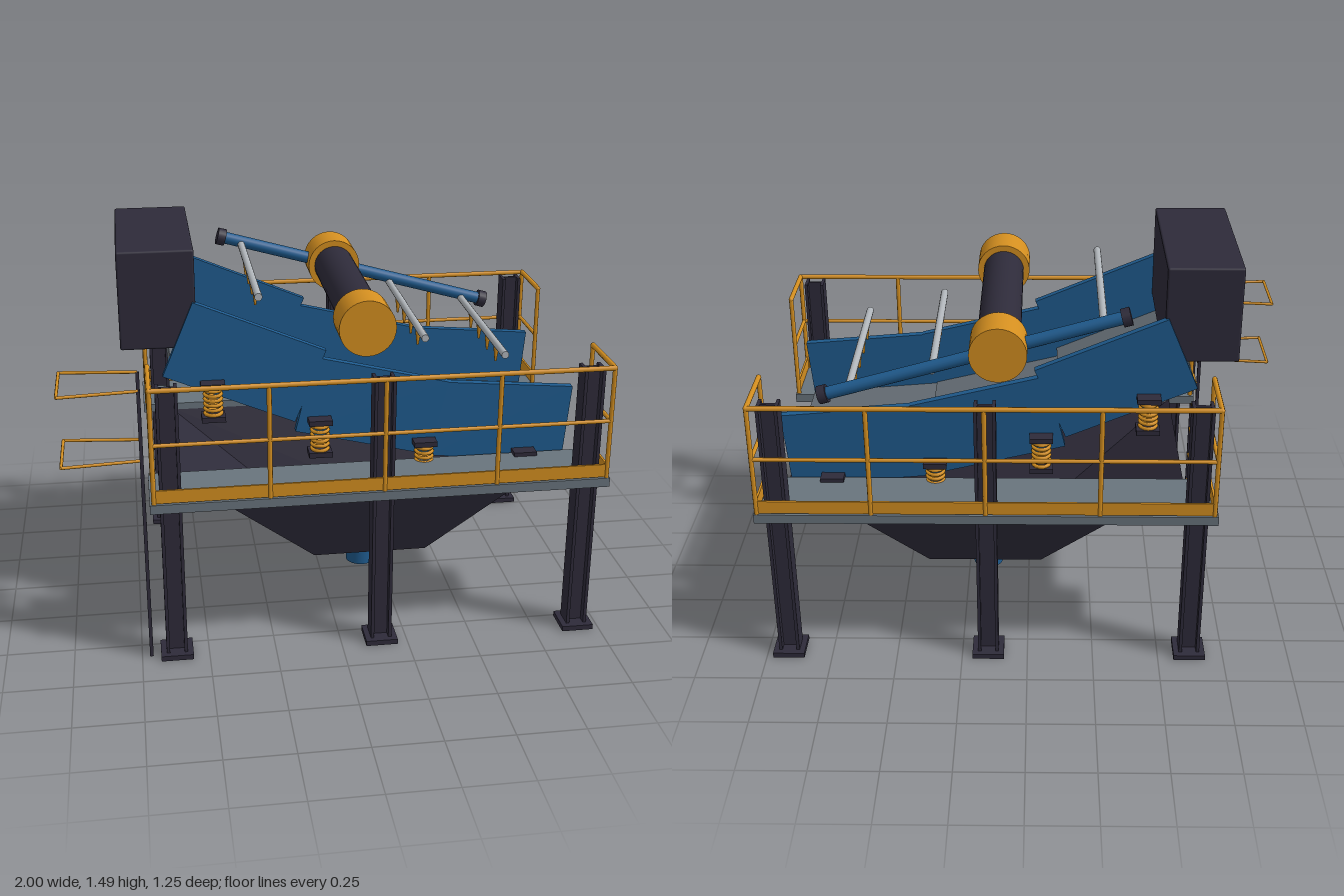
import * as THREE from 'three';
import { RoundedBoxGeometry } from 'three/addons/geometries/RoundedBoxGeometry.js';

const mat = (name, color, extra = {}) => {
  const m = new THREE.MeshStandardMaterial({ color, ...extra });
  m.name = name;
  return m;
};

export function createModel() {
  const dark = mat('dark steel', 0x2e2b3a);
  const darkSheet = dark.clone();
  darkSheet.side = THREE.DoubleSide;
  const orange = mat('safety orange', 0xd48f20);
  const blue = mat('blue paint', 0x1f5b8e);
  const grey = mat('platform grey', 0x69747d);
  const deckGrey = mat('screen grey', 0x636b72);
  const silver = mat('pipe silver', 0xb0b5ba);

  const root = new THREE.Group();
  root.name = 'vibratingScreen';
  const V = (x, y, z) => new THREE.Vector3(x, y, z);

  const add = (parent, name, geo, material, x = 0, y = 0, z = 0) => {
    const m = new THREE.Mesh(geo, material);
    m.name = name;
    m.position.set(x, y, z);
    parent.add(m);
    return m;
  };
  const box = (parent, name, material, w, h, d, x, y, z) =>
    add(parent, name, new THREE.BoxGeometry(w, h, d), material, x, y, z);
  // Round bar from a to b
  const bar = (parent, name, material, a, b, r, sides = 8, rEnd = r) => {
    const dir = b.clone().sub(a);
    const m = add(parent, name, new THREE.CylinderGeometry(rEnd, r, dir.length(), sides), material);
    m.position.copy(a).add(b).multiplyScalar(0.5);
    m.quaternion.setFromUnitVectors(V(0, 1, 0), dir.normalize());
    return m;
  };
  const group = (name) => {
    const g = new THREE.Group();
    g.name = name;
    root.add(g);
    return g;
  };

  // Hopper: open top rectangle tapering to a closed floor
  const hopperGeo = (() => {
    const ring = (x0, x1, y, z) => [V(x0, y, z), V(x1, y, z), V(x1, y, -z), V(x0, y, -z)];
    const top = ring(-0.59, 0.91, 0.625, 0.35);
    const low = ring(-0.05, 0.4, 0.172, 0.2);
    const pts = [];
    const quad = (a, b, c, d) => pts.push(a, b, c, a, c, d);
    for (let i = 0; i < 4; i++) {
      const j = (i + 1) % 4;
      quad(low[i], low[j], top[j], top[i]);
    }
    quad(low[3], low[2], low[1], low[0]);
    const g = new THREE.BufferGeometry().setFromPoints(pts);
    g.computeVertexNormals();
    return g;
  })();
  add(root, 'hopper', hopperGeo, darkSheet);
  bar(root, 'outletPipe', blue, V(0.17, 0.04, 0), V(0.17, 0.18, 0), 0.06, 24);

  // Three tilted screen sections: side walls and deck
  const sections = [
    [-0.324, 1.053, 23],
    [0.151, 0.857, 13.7],
    [0.65, 0.77, 5],
  ];
  sections.forEach(([x, y, tilt], i) => {
    const g = group('screenSection' + (i + 1));
    g.position.set(x, y, 0);
    g.rotation.z = -THREE.MathUtils.degToRad(tilt);
    for (const s of [1, -1]) box(g, 'sideWall', blue, 0.525, 0.3, 0.03, 0, 0, s * 0.321);
    box(g, 'screenDeck', deckGrey, 0.525, 0.02, 0.615, 0, -0.085, 0);
  });

  // Feed box at the high end
  add(root, 'feedBox', new RoundedBoxGeometry(0.275, 0.365, 0.65, 2, 0.008), dark, -0.633, 1.303, 0);

  for (const s of [1, -1]) {
    // Coil springs with a plate above and below
    for (const [x, top] of [[-0.445, 0.995], [-0.05, 0.83], [0.35, 0.72], [0.74, 0.655]]) {
      const g = group('springMount');
      g.position.set(x, top, s * 0.352);
      box(g, 'upperPlate', dark, 0.088, 0.02, 0.07, 0, -0.01, 0);
      box(g, 'lowerPlate', dark, 0.088, 0.02, 0.07, 0, -0.138, 0);
      for (let i = 0; i < 6; i++) {
        const coil = add(g, 'springCoil', new THREE.TorusGeometry(0.031, 0.007, 6, 20), orange, 0, -0.028 - i * 0.0185, 0);
        coil.rotation.x = Math.PI / 2;
      }
    }

    // Walkway
    box(root, 'walkway', grey, 1.69, 0.035, 0.275, 0.15, 0.622, s * 0.483);

    // H-section columns on base plates
    for (const x of [-0.62, 0.15, 0.915]) {
      const g = group('column');
      g.position.set(x, 0, s * 0.565);
      box(g, 'basePlate', dark, 0.12, 0.02, 0.12, 0, 0.01, 0);
      for (const f of [1, -1]) box(g, 'flange', dark, 0.012, 1.045, 0.074, f * 0.033, 0.5425, 0);
      box(g, 'web', dark, 0.066, 1.045, 0.012, 0, 0.5425, 0);
    }

    // Guard rail around three sides of the walkway
    const rail = group('guardRail');
    const [x0, x1, zo, zi] = [-0.68, 0.983, s * 0.611, s * 0.362];
    const posts = [[x0, zi], [x1, zi]];
    for (let i = 0; i < 5; i++) posts.push([x0 + (x1 - x0) * i / 4, zo]);
    for (const [x, z] of posts) bar(rail, 'post', orange, V(x, 0.64, z), V(x, 1.07, z), 0.009);
    for (const [y, r] of [[1.07, 0.01], [0.865, 0.008]]) {
      bar(rail, 'longRail', orange, V(x0, y, zo), V(x1, y, zo), r);
      for (const x of [x0, x1]) bar(rail, 'endRail', orange, V(x, y, zi), V(x, y, zo), r);
    }
    for (const [x, z] of posts)
      if (x === x0 || x === x1) add(rail, 'railCorner', new THREE.SphereGeometry(0.01, 10, 6), orange, x, 1.07, z);
    box(rail, 'kickPlate', orange, x1 - x0, 0.05, 0.008, 0.15, 0.668, zo);
    for (const x of [x0, x1]) box(rail, 'endKickPlate', orange, 0.008, 0.05, 0.249, x, 0.668, s * 0.4865);
  }

  // Vibrator drive: cross tube with end housings
  bar(root, 'driveTube', dark, V(0.105, 1.215, -0.34), V(0.105, 1.215, 0.34), 0.08, 32);
  for (const s of [1, -1])
    bar(root, 'driveHousing', orange, V(0.105, 1.215, s * 0.333), V(0.105, 1.215, s * 0.48), 0.104, 32);

  // Water header with end flanges
  const h0 = V(-0.355, 1.335, -0.405), h1 = V(0.75, 1.022, -0.405);
  const along = h1.clone().sub(h0).normalize().multiplyScalar(0.022);
  bar(root, 'waterHeader', blue, h0, h1, 0.024, 20);
  bar(root, 'headerFlange', dark, h0.clone().sub(along.clone().multiplyScalar(0.5)), h0.clone().add(along), 0.034, 20);
  bar(root, 'headerFlange', dark, h1.clone().sub(along), h1.clone().add(along.clone().multiplyScalar(0.5)), 0.034, 20);

  // Spray pipes with nozzles
  for (const [x, y] of [[-0.27, 1.303], [0.347, 1.117], [0.655, 1.036]]) {
    const g = group('sprayBar');
    bar(g, 'sprayPipe', silver, V(x, y, -0.4), V(x, y, 0.333), 0.0145, 14);
    for (let i = 0; i < 4; i++) {
      const z = 0.2 - i * 0.1325;
      bar(g, 'nozzle', orange, V(x, y - 0.07, z), V(x, y - 0.01, z), 0.004, 10, 0.011);
    }
  }

  // Access ladder with hoops
  const ladder = group('ladder');
  const lx = -0.715;
  for (const z of [0.387, 0.577]) box(ladder, 'stile', dark, 0.013, 1.06, 0.013, lx, 0.53, z);
  for (let i = 0; i < 7; i++) {
    const y = 0.1 + i * 0.1333;
    bar(ladder, 'rung', orange, V(lx, y, 0.387), V(lx, y, 0.577), 0.006);
  }
  for (const y of [0.797, 1.06]) {
    const pts = [V(lx, y, 0.387), V(-0.994, y, 0.357), V(-0.994, y, 0.603), V(lx, y, 0.577)];
    for (let i = 0; i < 3; i++) bar(ladder, 'hoop', orange, pts[i], pts[i + 1], 0.006);
  }

  return root;
}
